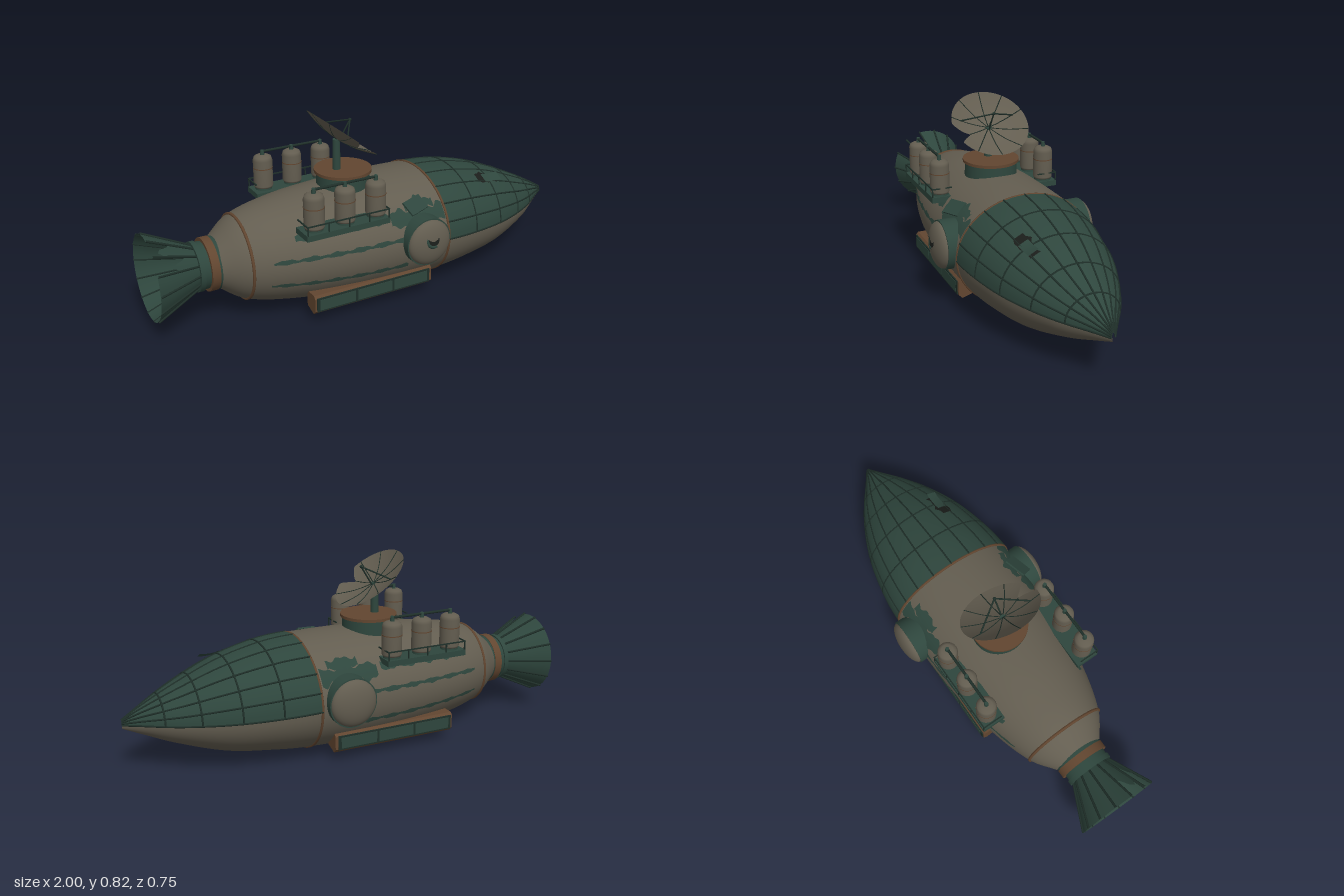
import * as THREE from 'three';

const mat = (name, color, side = THREE.FrontSide) => {
  const m = new THREE.MeshStandardMaterial({ color, side });
  m.name = name;
  return m;
};
const V = (x, y, z) => new THREE.Vector3(x, y, z);
const rad = THREE.MathUtils.degToRad;

// Hull stations: x, top, bottom, half width
const stations = [
  [-0.72, 0.36, 0.15, 0.115], [-0.62, 0.435, 0.08, 0.185], [-0.43, 0.478, 0.035, 0.247],
  [-0.2, 0.497, 0.012, 0.285], [0, 0.503, 0.003, 0.298], [0.25, 0.5, 0.01, 0.302],
  [0.4, 0.487, 0.025, 0.287], [0.6, 0.437, 0.055, 0.238], [0.8, 0.35, 0.12, 0.145],
  [0.92, 0.287, 0.17, 0.06], [1, 0.24, 0.205, 0.004],
];
function station(x) {
  const n = stations.length;
  let i = 0;
  while (i < n - 2 && x > stations[i + 1][0]) i++;
  const a = stations[i], b = stations[i + 1], h = b[0] - a[0], t = (x - a[0]) / h;
  const slope = (k, c) => {
    const p = stations[Math.max(k - 1, 0)], q = stations[Math.min(k + 1, n - 1)];
    return (q[c] - p[c]) / (q[0] - p[0]);
  };
  return [1, 2, 3].map((c) => {
    const t2 = t * t, t3 = t2 * t;
    return a[c] * (2 * t3 - 3 * t2 + 1) + slope(i, c) * h * (t3 - 2 * t2 + t)
      + b[c] * (3 * t2 - 2 * t3) + slope(i + 1, c) * h * (t3 - t2);
  });
}
// Point on the hull: angle 0 is +z, 90 is up
function hullPoint(x, deg, off = 0) {
  const [top, bottom, w] = station(x), a = rad(deg), s = Math.sin(a);
  const c = x < 0.25 ? 0.255 : 0.255 - 0.033 * (x - 0.25) / 0.75;
  return V(x, c + ((s > 0 ? top - c : c - bottom) + off) * s, (w + off) * Math.cos(a));
}

// Surface from a rule of two parameters
function grid(fn, nu, nv) {
  const pos = [], idx = [];
  for (let j = 0; j <= nv; j++) for (let i = 0; i <= nu; i++) pos.push(...fn(i / nu, j / nv).toArray());
  for (let j = 0; j < nv; j++) for (let i = 0; i < nu; i++) {
    const a = j * (nu + 1) + i, b = a + 1, d = a + nu + 1, c = d + 1;
    idx.push(a, b, c, a, c, d);
  }
  const g = new THREE.BufferGeometry();
  g.setAttribute('position', new THREE.Float32BufferAttribute(pos, 3));
  g.setIndex(idx);
  g.computeVertexNormals();
  return g;
}
const patch = (x0, x1, a0, a1, off, nu, nv, wobble = 0) => grid((u, v) => {
  const x = x0 + (x1 - x0) * u;
  const e = wobble * (Math.sin(x * 61) + 0.6 * Math.sin(x * 137 + v * 3)) * (v - 0.4);
  return hullPoint(x, a0 + (a1 - a0) * v + e, off);
}, nu, nv);
const tube = (pts, r, n = 1, sides = 6) => new THREE.TubeGeometry(
  pts.length === 2 ? new THREE.LineCurve3(...pts) : new THREE.CatmullRomCurve3(pts), n, r, sides);

export function createModel() {
  const root = new THREE.Group();
  const grey = mat('hull grey', 0x635d50), green = mat('panel green', 0x2e463d);
  const brown = mat('rust brown', 0x624630), rib = mat('dark rib green', 0x1f2f29);
  const dark = mat('dark opening', 0x1a1d1a);
  const greyThin = mat('thin grey', 0x635d50, THREE.DoubleSide);
  const greenThin = mat('thin green', 0x2e463d, THREE.DoubleSide);
  const add = (name, geo, m, parent = root, x = 0, y = 0, z = 0) => {
    const mesh = new THREE.Mesh(geo, m);
    mesh.name = name;
    mesh.position.set(x, y, z);
    parent.add(mesh);
    return mesh;
  };
  const box = (name, w, h, d, m, p, x, y, z) => add(name, new THREE.BoxGeometry(w, h, d), m, p, x, y, z);

  // Hull and two-tone nose
  add('hull', patch(-0.72, 0.25, -90, 270, 0, 40, 64), grey);
  add('noseBottom', patch(0.25, 1, 180, 360, 0, 32, 32), grey);
  add('noseTop', patch(0.25, 1, 0, 180, 0.003, 32, 32), green);

  // Nose lattice
  for (let k = 0; k <= 10; k++) {
    const pts = [];
    for (let i = 0; i <= 10; i++) pts.push(hullPoint(0.25 + 0.075 * i, k * 18, 0.003));
    add('noseRib', tube(pts, 0.004, 20, 5), rib);
  }
  for (const x of [0.41, 0.57, 0.72, 0.85]) {
    const pts = [];
    for (let i = 0; i <= 16; i++) pts.push(hullPoint(x, i * 11.25, 0.003));
    add('noseHoop', tube(pts, 0.004, 32, 5), rib);
  }
  // Torn nose panel
  add('noseTear', patch(0.5, 0.62, 52, 64, 0.006, 6, 4, 3), dark);
  add('bentPanel', grid((u, v) => hullPoint(0.54 + 0.09 * u, 52 + 11 * v, 0.006 + 0.025 * u * u), 4, 3), greenThin);

  // Hull bands
  for (const [x, r] of [[0.25, 0.006], [-0.615, 0.007]]) {
    const pts = [];
    for (let i = 0; i < 32; i++) pts.push(hullPoint(x, i * 11.25, 0));
    add('hullBand', new THREE.TubeGeometry(new THREE.CatmullRomCurve3(pts, true), 64, r, 6, true), brown);
  }

  // Neck collars: x, length, radius
  for (const [x, len, r, m] of [[-0.715, 0.03, 0.112, green], [-0.745, 0.035, 0.114, brown],
    [-0.775, 0.03, 0.1, green], [-0.797, 0.02, 0.106, green]]) {
    add('neckCollar', new THREE.CylinderGeometry(r, r, len, 40), m, root, x, 0.255, 0).rotation.z = Math.PI / 2;
  }

  // Engine bell with two broken panels
  const bell = (u, a, off = 0) => {
    const r = 0.088 + 0.094 * u + off;
    return V(-0.8 - 0.198 * u, 0.255 + r * Math.sin(a), r * Math.cos(a));
  };
  for (let k = 0; k < 14; k++) {
    const a0 = k * Math.PI / 7, step = Math.PI / 7;
    const len = k === 1 ? 0.45 : k === 2 ? 0.7 : 1;
    add('bellPanel', grid((u, v) => bell(u * (len < 1 ? len + 0.15 * Math.sin(v * 5) : 1), a0 + v * step), 6, 4), greenThin);
    add('bellRib', tube([bell(0, a0, 0.003), bell(1, a0, 0.003)], 0.005), rib);
  }

  // Turret under the dish
  add('turretDrum', new THREE.CylinderGeometry(0.115, 0.118, 0.08, 40), green, root, -0.11, 0.505, 0);
  add('turretDeck', new THREE.CylinderGeometry(0.125, 0.125, 0.013, 40), brown, root, -0.11, 0.55, 0);
  add('dishMast', new THREE.CylinderGeometry(0.016, 0.018, 0.14, 16), green, root, -0.14, 0.62, 0);

  // Tilted dish with a bite out of its rim
  const dish = new THREE.Group();
  dish.name = 'dish';
  dish.position.set(-0.134, 0.687, 0);
  dish.rotation.z = -0.657;
  root.add(dish);
  const dishPoint = (r, a) => V(r * Math.sin(a), 0.035 * (r / 0.175) ** 2, r * Math.cos(a));
  const rim = (deg) => {
    if (deg < -6 || deg > 27) return 0.175;
    return deg < 20 ? 0.175 - 0.072 * (deg + 6) / 26 : 0.103 + 0.06 * (deg - 20) / 7;
  };
  add('dishBowl', grid((u, v) => {
    const deg = -90 + 360 * v;
    return dishPoint(u * rim(deg), rad(deg));
  }, 10, 120), greyThin, dish);
  for (let k = 0; k < 10; k++) {
    const a = k * 36 - 90, r = rim(a);
    add('dishSpoke', tube([0, 0.5, 1].map((t) => dishPoint(t * r, rad(a))), 0.0022, 8, 4), rib, dish);
  }
  const feed = V(0, 0.1, 0);
  for (const p of [V(-0.04, 0.02, 0.125), V(-0.04, 0.02, -0.125), V(0.01, 0, 0)])
    add('feedStrut', tube([p, feed], 0.0035), rib, dish);
  add('feedHorn', new THREE.SphereGeometry(0.007, 10, 8), rib, dish, 0, 0.1, 0);

  // Paired equipment on both flanks
  const tankProfile = [[0, 0], [0.04, 0], [0.043, 0.008], [0.043, 0.125], [0.038, 0.14], [0.025, 0.147], [0, 0.149]]
    .map(([x, y]) => new THREE.Vector2(x, y));
  for (const s of [1, -1]) {
    const side = new THREE.Group();
    side.name = s > 0 ? 'frontFlank' : 'rearFlank';
    root.add(side);

    // Tank shelf, tanks and guard rail
    box('tankShelf', 0.38, 0.025, 0.105, green, side, -0.24, 0.413, s * 0.247);
    for (const x of [-0.375, -0.235, -0.092]) {
      add('tankFoot', new THREE.CylinderGeometry(0.036, 0.038, 0.02, 20), green, side, x, 0.432, s * 0.25);
      add('tank', new THREE.LatheGeometry(tankProfile, 28), grey, side, x, 0.435, s * 0.25);
      add('tankBand', new THREE.CylinderGeometry(0.0438, 0.0438, 0.004, 28), brown, side, x, 0.525, s * 0.25);
      add('tankValve', new THREE.CylinderGeometry(0.008, 0.01, 0.024, 10), green, side, x, 0.592, s * 0.25);
    }
    add('tankPipe', tube([V(-0.38, 0.598, s * 0.25), V(-0.087, 0.598, s * 0.25)], 0.006, 1, 8), rib, side);
    for (let i = 0; i < 5; i++) box('railPost', 0.005, 0.04, 0.005, rib, side, -0.425 + 0.0925 * i, 0.445, s * 0.297);
    box('guardRail', 0.376, 0.005, 0.005, rib, side, -0.24, 0.463, s * 0.297);
    for (const x of [-0.427, -0.053]) box('endRail', 0.005, 0.005, 0.09, rib, side, x, 0.463, s * 0.253);

    // Round side pod
    add('podDrum', new THREE.CylinderGeometry(0.107, 0.107, 0.11, 40), green, side, 0.125, 0.282, s * 0.276).rotation.x = Math.PI / 2;
    const dome = add('podDome', new THREE.SphereGeometry(0.102, 36, 10, 0, Math.PI * 2, 0, Math.PI / 2), grey, side, 0.125, 0.282, s * 0.329);
    dome.scale.y = 0.41;
    dome.rotation.x = s * Math.PI / 2;

    // Lower bay with three windows
    const shape = new THREE.Shape([[0.2, 0.13], [0.262, 0.13], [0.272, 0.118], [0.272, 0.06], [0.255, 0.043], [0.2, 0.06]]
      .map(([z, y]) => new THREE.Vector2(-s * z, y)));
    add('lowerBay', new THREE.ExtrudeGeometry(shape, { depth: 0.57, bevelEnabled: false }), brown, side, -0.39).rotation.y = Math.PI / 2;
    box('bayFrame', 0.55, 0.062, 0.006, rib, side, -0.107, 0.089, s * 0.273);
    for (let i = 0; i < 3; i++) box('bayWindow', 0.168, 0.048, 0.008, green, side, -0.285 + 0.178 * i, 0.089, s * 0.274);

    // Worn green paint on the hull
    for (const [x0, x1, a0, a1, w] of [[-0.54, 0.03, 9, 13, 1.5], [-0.55, 0.05, -20, -16, 1.5],
      [-0.02, 0.24, 24, 38, 4], [0.06, 0.2, 36, 47, 4], [-0.44, -0.04, 30, 38, 2]]) {
      const b = s > 0 ? [a0, a1] : [180 - a1, 180 - a0];
      add('wornPaint', patch(x0, x1, ...b, 0.003, 40, 4, w), green, side);
    }
  }

  // Broken cover on the front pod
  const cover = add('podScar', new THREE.TorusGeometry(0.03, 0.008, 6, 20, 4.6), green, root, 0.125, 0.305, 0.362);
  cover.rotation.set(-0.25, 0, 0.5);
  add('podHole', new THREE.CylinderGeometry(0.026, 0.026, 0.006, 18), dark, root, 0.125, 0.305, 0.366).rotation.x = Math.PI / 2 - 0.2;
  const flap = box('looseFlap', 0.1, 0.07, 0.008, green, root, 0.1, 0.43, 0.255);
  flap.rotation.set(-0.9, 0.1, 0.3);

  return root;
}
